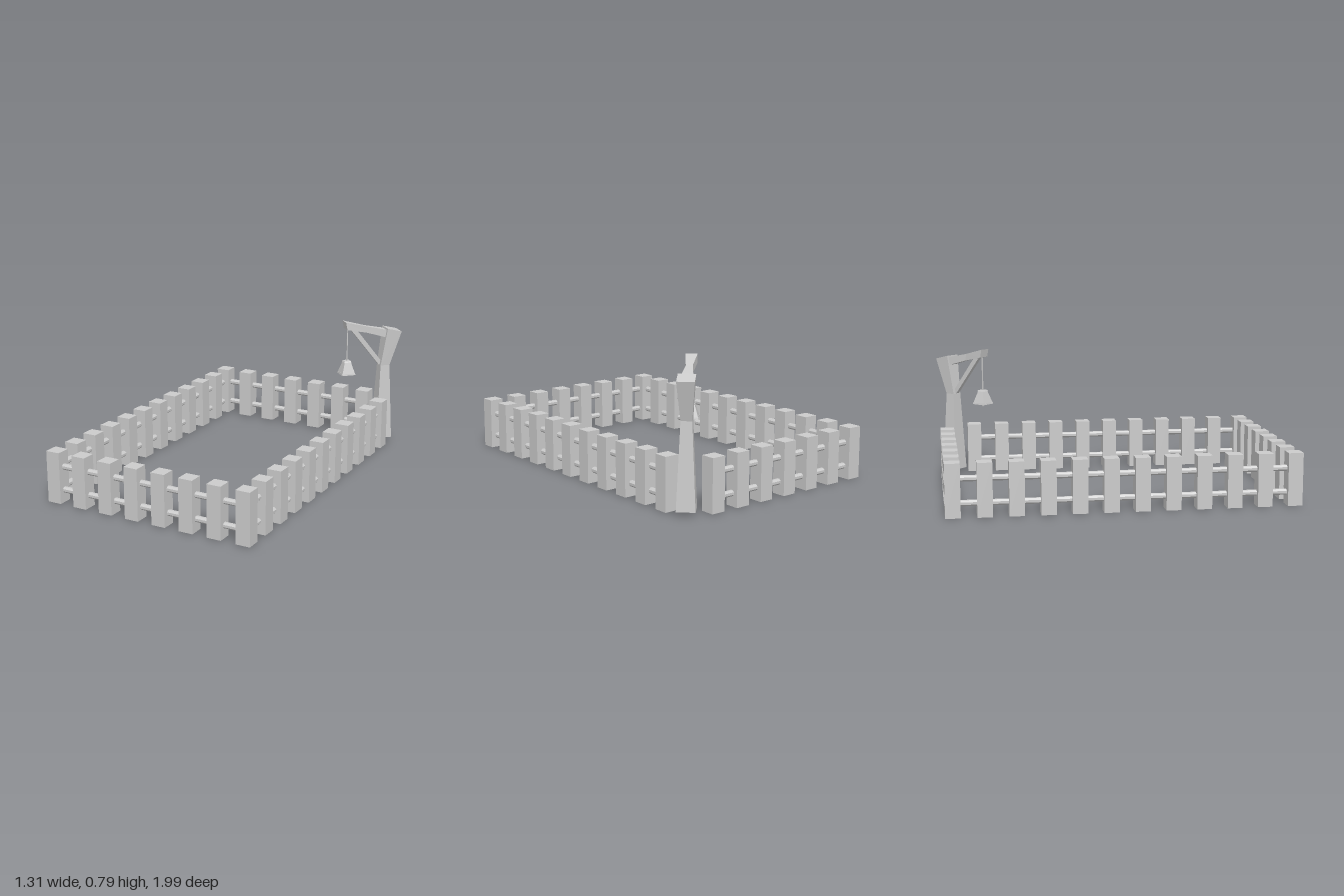
import * as THREE from 'three';

const material = new THREE.MeshStandardMaterial({ color: 0xcccccc, flatShading: true });

function add(parent, name, geometry, x = 0, y = 0, z = 0) {
  const mesh = new THREE.Mesh(geometry, material);
  mesh.name = name;
  mesh.position.set(x, y, z);
  parent.add(mesh);
  return mesh;
}

// Four-sided timber through rows of [z, y of one edge, z, y of the other edge, half width]
function timber(rows) {
  const n = rows.length - 1;
  const geometry = new THREE.BoxGeometry(2, n, 2, 1, n, 1);
  const p = geometry.attributes.position;
  for (let i = 0; i < p.count; i++) {
    const [za, ya, zb, yb, half] = rows[Math.round(p.getY(i) + n / 2)];
    const far = p.getZ(i) > 0;
    p.setXYZ(i, Math.sign(p.getX(i)) * half, far ? yb : ya, far ? zb : za);
  }
  geometry.computeVertexNormals();
  return geometry;
}

// Post grid of the fence
const X0 = -0.617, X1 = 0.58, Z0 = -0.94, Z1 = 0.955;
const COLS = 7, ROWS = 11;
const px = (i) => X0 + ((X1 - X0) * i) / COLS;
const pz = (j) => Z0 + ((Z1 - Z0) * j) / ROWS;

function createFence() {
  const fence = new THREE.Group();
  fence.name = 'fence';

  // Square posts around the rectangle, with the back left corner kept free
  const postGeometry = new THREE.BoxGeometry(0.084, 0.3, 0.084);
  for (let i = 0; i <= COLS; i++) {
    for (let j = 0; j <= ROWS; j++) {
      const onEdge = i === 0 || i === COLS || j === 0 || j === ROWS;
      if (!onEdge || (i === COLS && j === 0)) continue;
      add(fence, 'fencePost', postGeometry, px(i), 0.15, pz(j));
    }
  }

  // Two rails on each side
  const rail = (y, x0, z0, x1, z1) => {
    const length = Math.hypot(x1 - x0, z1 - z0);
    const geometry = new THREE.CylinderGeometry(0.0175, 0.0175, length, 8);
    geometry.rotateY(Math.PI / 8);
    geometry.rotateX(Math.PI / 2);
    const mesh = add(fence, 'rail', geometry, (x0 + x1) / 2, y, (z0 + z1) / 2);
    mesh.rotation.y = Math.atan2(x1 - x0, z1 - z0);
  };
  for (const y of [0.074, 0.21]) {
    rail(y, X0, Z1, X1, Z1);
    rail(y, X0, Z0, px(COLS - 1), Z0);
    rail(y, X0, Z0, X0, Z1);
    rail(y, X1, pz(1), X1, Z1);
  }
  return fence;
}

function createBellStand() {
  // Local +z points diagonally into the yard
  const stand = new THREE.Group();
  stand.name = 'bellStand';
  stand.position.set(0.552, 0, -0.894);
  stand.rotation.y = -Math.PI / 4;

  add(stand, 'standPost', timber([
    [-0.051, 0.025, 0.051, 0.025, 0.051],
    [-0.03, 0.5, 0.03, 0.5, 0.03],
    [-0.097, 0.716, -0.003, 0.739, 0.047],
  ]));
  add(stand, 'crossBeam', timber([
    [-0.01, 0.727, -0.02, 0.675, 0.033],
    [0.13, 0.757, 0.125, 0.716, 0.018],
    [0.27, 0.793, 0.26, 0.745, 0.032],
  ]));
  add(stand, 'brace', timber([
    [0.012, 0.515, 0.036, 0.503, 0.012],
    [0.202, 0.752, 0.228, 0.738, 0.012],
  ]));

  // Hanging square bell
  const bell = new THREE.Group();
  bell.name = 'bell';
  bell.position.z = 0.247;
  bell.rotation.y = Math.PI / 4;
  stand.add(bell);
  const frustum = (name, top, bottom, y0, y1) =>
    add(bell, name, new THREE.CylinderGeometry(top, bottom, y1 - y0, 4), 0, (y0 + y1) / 2, 0);
  frustum('rope', 0.004, 0.004, 0.535, 0.76);
  frustum('bellCap', 0.028, 0.034, 0.533, 0.541);
  frustum('bellBody', 0.029, 0.058, 0.465, 0.533);
  frustum('bellLip', 0.06, 0.063, 0.455, 0.465);
  frustum('clapper', 0.009, 0.004, 0.44, 0.458);
  return stand;
}

export function createModel() {
  const model = new THREE.Group();
  model.name = 'fencedYard';
  model.add(createFence(), createBellStand());
  return model;
}
